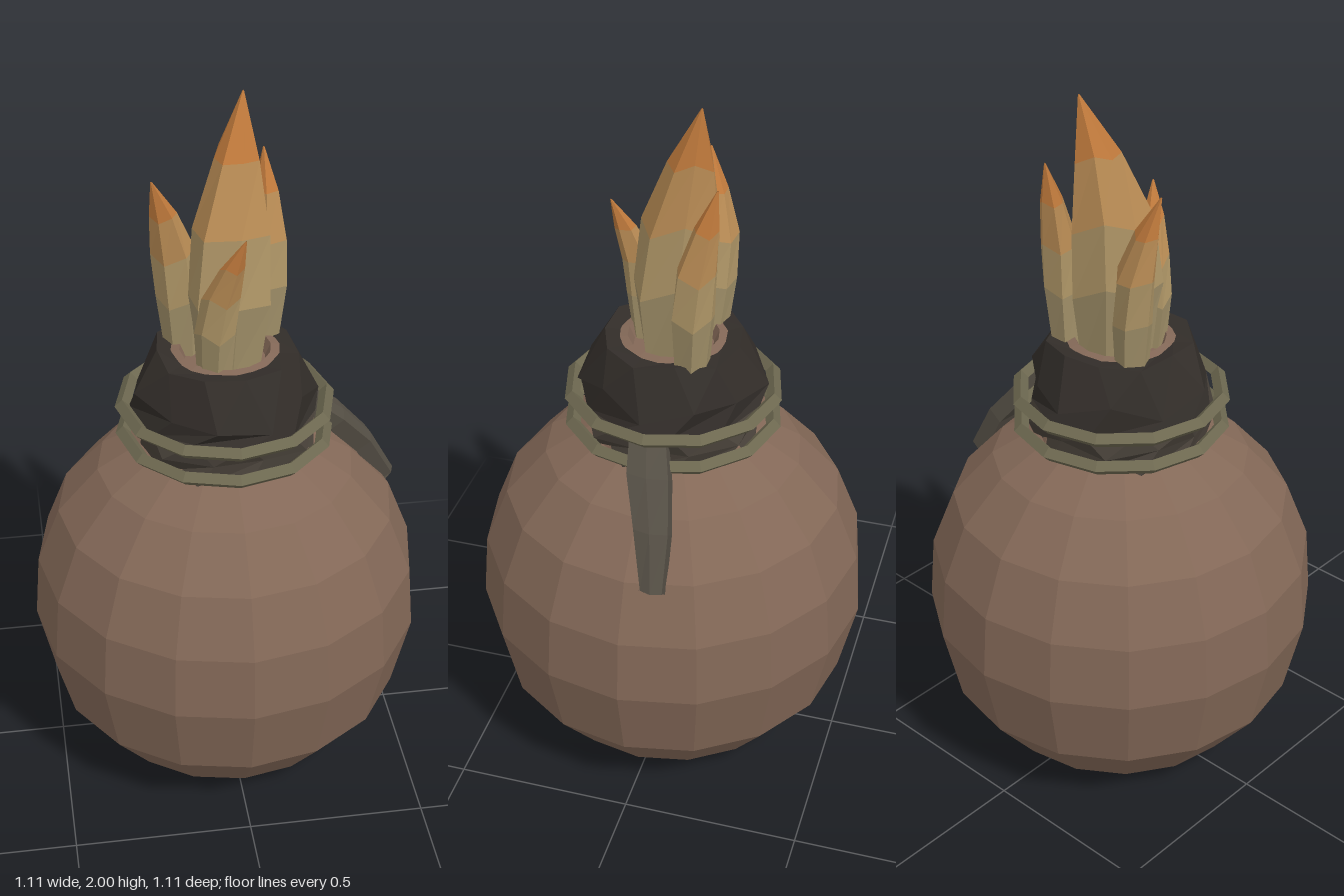
import * as THREE from 'three';

const mat = (color) => new THREE.MeshStandardMaterial({ color, flatShading: true, roughness: 0.9, side: THREE.DoubleSide });

function add(parent, name, geometry, material) {
  const mesh = new THREE.Mesh(geometry, material);
  mesh.name = name;
  parent.add(mesh);
  return mesh;
}

// Closed loops of equal length, joined bottom to top (counterclockwise seen from above)
function loft(loops, capped = false) {
  const n = loops[0].length;
  const index = [];
  for (let k = 0; k < loops.length - 1; k++) {
    for (let i = 0; i < n; i++) {
      const a = k * n + i, b = k * n + (i + 1) % n;
      index.push(a, b, b + n, a, b + n, a + n);
    }
  }
  if (capped) {
    const t = (loops.length - 1) * n;
    for (let i = 1; i < n - 1; i++) index.push(0, i + 1, i, t, t + i, t + i + 1);
  }
  const g = new THREE.BufferGeometry();
  g.setAttribute('position', new THREE.Float32BufferAttribute(loops.flat(2), 3));
  g.setIndex(index);
  g.computeVertexNormals();
  return g;
}

// Ring of n points; wobble(i) scales the radius and lift(i) shifts the height
function ring(x, y, z, r, n, turn = 0, wobble = () => 1, lift = () => 0) {
  return Array.from({ length: n }, (_, i) => {
    const a = turn + (i / n) * Math.PI * 2;
    return [x + Math.sin(a) * r * wobble(i), y + lift(i), z + Math.cos(a) * r * wobble(i)];
  });
}

export function createModel() {
  const group = new THREE.Group();

  // Round clay body with a neck and a shallow mouth
  const profile = [
    [0, 0], [0.2, 0.01], [0.375, 0.07], [0.505, 0.235], [0.555, 0.46], [0.54, 0.645], [0.475, 0.81],
    [0.36, 0.94], [0.23, 1.02], [0.19, 1.1], [0.15, 1.3], [0.125, 1.305], [0.11, 1.27], [0, 1.27],
  ].map(([r, y]) => new THREE.Vector2(r, y));
  add(group, 'clayBody', new THREE.LatheGeometry(profile, 16), mat(0x836857));

  // Crumpled cloth wrapped round the neck
  const wob = (s, amount) => (i) => 1 + amount * Math.sin(i * 2.4 + s);
  const lift = (s, amount) => (i) => amount * Math.sin(i * 3.7 + s);
  const n = 11;
  const waist = ring(0, 1.13, 0, 0.255, n, 0.1, wob(1, 0.04), lift(2, 0.015));
  add(group, 'lowerCloth', loft([
    ring(0, 1.0, 0, 0.24, n, 0.1, wob(3, 0.04)),
    ring(0, 1.07, 0, 0.25, n, 0.3, wob(5, 0.05), lift(1, 0.01)),
    waist,
  ]), mat(0x49423a));
  add(group, 'upperCloth', loft([
    waist,
    ring(0, 1.19, 0, 0.25, n, 0.35, wob(2, 0.06), lift(4, 0.025)),
    ring(0, 1.305, 0, 0.195, n, 0.15, wob(4, 0.05), lift(3, 0.006)),
    ring(0, 1.3, 0, 0.145, n, 0.1),
    ring(0, 1.25, 0, 0.14, n, 0.1),
  ]), mat(0x322d29));

  // Two cords tied round the cloth
  for (const y of [1.055, 1.14]) {
    const cord = add(group, 'cord', new THREE.TorusGeometry(0.284, 0.021, 4, 12), mat(0x6d6850));
    cord.rotation.x = Math.PI / 2;
    cord.position.y = y;
  }

  // Loose cloth end hanging over the shoulder: [outer x, y, front z, back z, thickness]
  const strap = [
    [0.48, 0.79, -0.035, -0.11, 0.03], [0.505, 0.81, -0.05, -0.11, 0.05], [0.43, 0.95, -0.01, -0.105, 0.05],
    [0.34, 1.06, 0.035, -0.08, 0.05], [0.26, 1.13, 0.05, -0.05, 0.04],
  ].map(([x, y, f, b, t]) => [
    [x - t, y - t * 0.6, f], [x - 0.01, y, f], [x, y, (f + b) / 2], [x - 0.01, y, b], [x - t, y - t * 0.6, b],
  ]);
  add(group, 'clothEnd', loft(strap, true), mat(0x554f45));

  // Faceted flames, each in bands from pale base to orange tip: rings are [x, y, z, radius]
  const bands = [0xa08f68, 0xae9566, 0xb88b54, 0xc07a3c].map(mat);
  const flames = {
    mainFlame: [[0.01, 1.26, -0.01, 0.09], [0.01, 1.47, -0.01, 0.115], [0.015, 1.66, -0.025, 0.105],
      [0.035, 1.84, -0.055, 0.06], [0.06, 2.0, -0.09, 0.002]],
    leftFlame: [[0.12, 1.26, -0.085, 0.045], [0.13, 1.44, -0.09, 0.058], [0.13, 1.57, -0.1, 0.054],
      [0.128, 1.7, -0.125, 0.034], [0.125, 1.815, -0.15, 0.002]],
    rightFlame: [[-0.105, 1.26, -0.07, 0.05], [-0.115, 1.42, -0.08, 0.06], [-0.13, 1.55, -0.085, 0.057],
      [-0.155, 1.67, -0.07, 0.035], [-0.185, 1.78, -0.05, 0.002]],
    frontFlame: [[-0.04, 1.26, 0.08, 0.045], [-0.04, 1.4, 0.09, 0.052], [-0.025, 1.51, 0.1, 0.048],
      [0.0, 1.61, 0.13, 0.03], [0.03, 1.7, 0.16, 0.002]],
  };
  Object.entries(flames).forEach(([name, rows], f) => {
    const flame = new THREE.Group();
    flame.name = name;
    const sides = f === 0 ? 7 : 6;
    const loops = rows.map(([x, y, z, r], k) =>
      ring(x, y, z, r, sides, f * 0.7 + k * 0.08, wob(f, 0.12), lift(f, r * 0.25)));
    for (let k = 0; k < bands.length; k++) add(flame, 'flameBand', loft([loops[k], loops[k + 1]]), bands[k]);
    group.add(flame);
  });

  return group;
}
